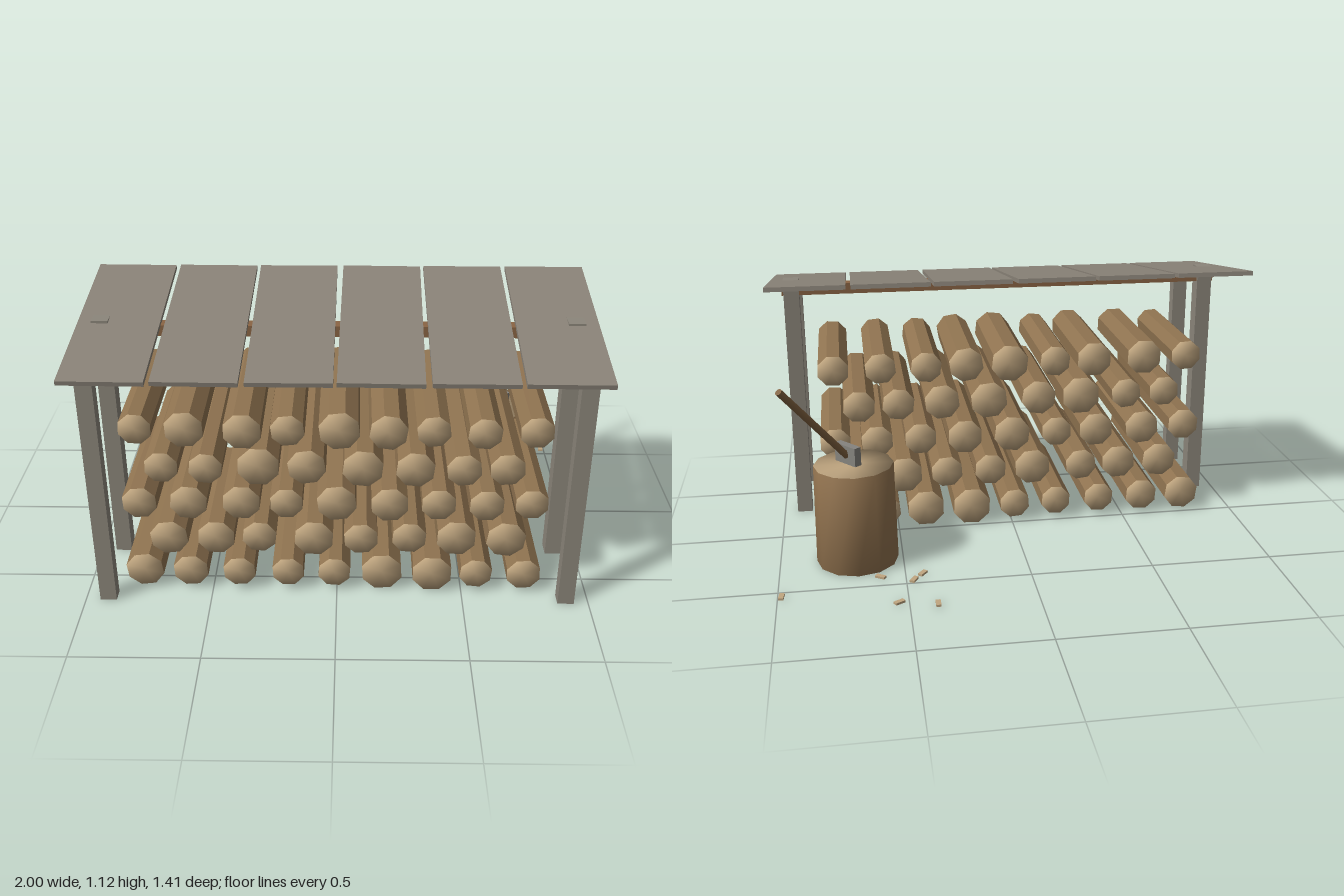
import * as THREE from 'three';
import { mergeVertices } from 'three/addons/utils/BufferGeometryUtils.js';

const material = (name, color, flatShading = false) => {
  const m = new THREE.MeshStandardMaterial({ color, flatShading });
  m.name = name;
  return m;
};

// Closed cylinder whose rim normals blend into the caps, giving softly rounded ends
function softCylinder(rTop, rBottom, height, sides) {
  const g = new THREE.CylinderGeometry(rTop, rBottom, height, sides);
  g.deleteAttribute('uv');
  g.deleteAttribute('normal');
  const merged = mergeVertices(g);
  merged.computeVertexNormals();
  return merged;
}

export function createModel() {
  const root = new THREE.Group();
  root.name = 'woodShelter';

  const roofWood = material('weatheredRoofWood', 0x8a8378);
  const postWood = material('greyPostWood', 0x8c867b);
  const beamWood = material('beamWood', 0x8a6544);
  const bark = material('logBark', 0x8f7350, true);
  const cutWood = material('cutWood', 0xc0a680);
  const stumpBark = material('stumpBark', 0x92734f);
  const handleWood = material('handleWood', 0x80613f);
  const metal = material('axeMetal', 0x85837e);

  const add = (name, geometry, mat, x, y, z, parent = root) => {
    const mesh = new THREE.Mesh(geometry, mat);
    mesh.name = name;
    mesh.position.set(x, y, z);
    parent.add(mesh);
    return mesh;
  };

  let seed = 7;
  const rand = () => (seed = (seed * 16807) % 2147483647) / 2147483647;

  // Posts: shorter in front, taller under the beam
  for (const side of [-1, 1]) {
    add('frontPost', new THREE.BoxGeometry(0.065, 0.985, 0.055), postWood, side * 0.91, 0.4925, 0.633);
    add('backPost', new THREE.BoxGeometry(0.065, 1.065, 0.068), postWood, side * 0.91, 0.5325, 0.29);
  }
  add('beam', new THREE.BoxGeometry(1.9, 0.045, 0.05), beamWood, 0, 1.022, 0.29);

  // Sloping roof of six slightly crooked planks
  const roof = new THREE.Group();
  roof.name = 'roof';
  roof.position.set(0, 1.052, 0.29);
  roof.rotation.x = Math.atan2(0.125, 0.82);
  root.add(roof);
  const yaws = [-0.012, -0.012, -0.004, -0.018, -0.006, -0.008];
  yaws.forEach((yaw, i) => {
    const plank = add('roofPlank', new THREE.BoxGeometry(0.316, 0.018, 0.83), roofWood,
      -0.836 + i * 0.3345, 0, 0, roof);
    plank.rotation.y = yaw;
  });

  // Stacked logs: each row has a height, then pairs of x and radius
  const rows = [
    [0.09, [-0.77, 0.077], [-0.585, 0.072], [-0.39, 0.067], [-0.195, 0.066], [-0.01, 0.067],
      [0.18, 0.084], [0.38, 0.082], [0.555, 0.067], [0.745, 0.07]],
    [0.255, [-0.66, 0.077], [-0.475, 0.076], [-0.305, 0.07], [-0.09, 0.08], [0.095, 0.07],
      [0.285, 0.07], [0.47, 0.08], [0.665, 0.08]],
    [0.415, [-0.765, 0.07], [-0.575, 0.076], [-0.37, 0.076], [-0.195, 0.067], [0, 0.08],
      [0.205, 0.076], [0.395, 0.07], [0.58, 0.07], [0.755, 0.067]],
    [0.575, [-0.67, 0.067], [-0.5, 0.067], [-0.3, 0.084], [-0.115, 0.076], [0.1, 0.081],
      [0.3, 0.077], [0.485, 0.07], [0.65, 0.07]],
    [0.735, [-0.76, 0.066], [-0.575, 0.077], [-0.355, 0.076], [-0.185, 0.067], [0.01, 0.081],
      [0.195, 0.075], [0.365, 0.067], [0.555, 0.067], [0.75, 0.067]],
  ];
  const stack = new THREE.Group();
  stack.name = 'logStack';
  root.add(stack);
  for (const [y, ...logs] of rows) {
    for (const [x, r] of logs) {
      const geometry = softCylinder(r, r, 0.57 + rand() * 0.02, 8);
      geometry.rotateY(Math.PI / 8 + (rand() - 0.5) * 0.3);
      geometry.rotateX(Math.PI / 2);
      add('log', geometry, [bark, cutWood, cutWood], x, y, 0.295 + (rand() - 0.5) * 0.012, stack);
    }
  }

  // Chopping stump
  add('stump', softCylinder(0.161, 0.167, 0.42, 12), [stumpBark, cutWood, stumpBark], 0.685, 0.21, -0.243);

  // Axe stuck in the stump
  const axe = new THREE.Group();
  axe.name = 'axe';
  root.add(axe);
  add('axeHead', new THREE.BoxGeometry(0.12, 0.095, 0.032), metal, 0.705, 0.45, -0.23, axe)
    .rotation.y = -0.87;
  const from = new THREE.Vector3(0.71, 0.455, -0.24);
  const to = new THREE.Vector3(0.948, 0.798, -0.432);
  const along = to.clone().sub(from);
  const mid = from.clone().add(to).multiplyScalar(0.5);
  const handle = add('axeHandle', new THREE.CylinderGeometry(0.015, 0.015, along.length(), 8), handleWood,
    mid.x, mid.y, mid.z, axe);
  handle.quaternion.setFromUnitVectors(new THREE.Vector3(0, 1, 0), along.normalize());

  // Wood chips on the ground: x, z, turn
  const chips = [[0.392, -0.685, 0], [0.538, -0.653, -1.05], [0.47, -0.48, -0.5],
    [0.432, -0.432, -0.65], [0.6, -0.437, 1.0], [0.985, -0.543, -0.1]];
  for (const [x, z, turn] of chips) {
    add('woodChip', new THREE.BoxGeometry(0.02, 0.009, 0.042), cutWood, x, 0.0065, z).rotation.y = turn;
  }

  return root;
}
